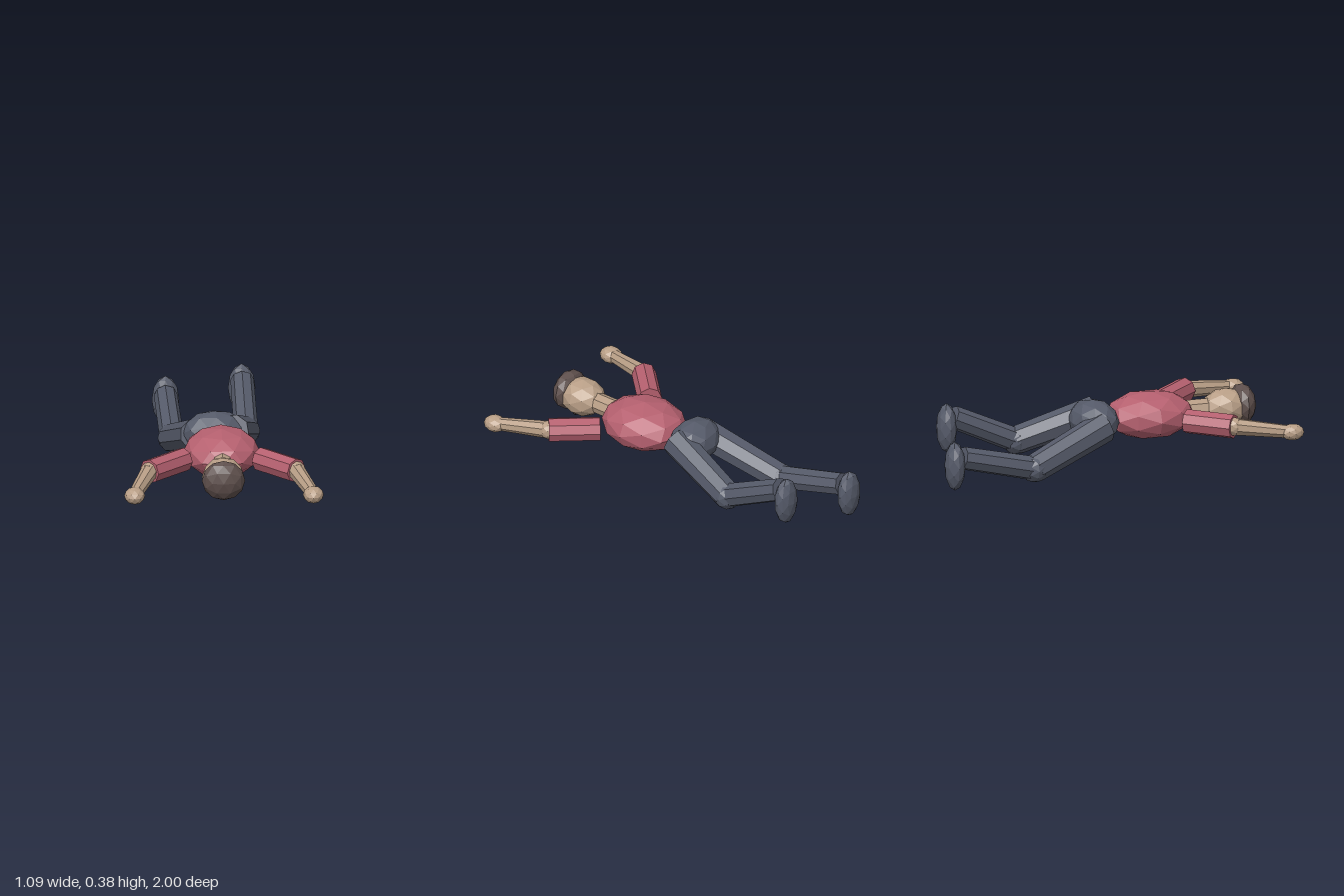
import * as THREE from 'three';

const mat = (name, color) => {
  const m = new THREE.MeshStandardMaterial({ color, flatShading: true });
  m.name = name;
  return m;
};

export function createModel() {
  const shirt = mat('shirt red', 0xb5606f);
  const skin = mat('skin', 0xb89e86);
  const hair = mat('hair brown', 0x5d4e4b);
  const trousers = mat('trouser grey', 0x555a69);
  const eyeDark = mat('eye dark', 0x2a2422);
  const model = new THREE.Group();
  model.name = 'proneFigure';

  const add = (name, geometry, material, parent = model) => {
    const mesh = new THREE.Mesh(geometry, material);
    mesh.name = name;
    parent.add(mesh);
    return mesh;
  };

  // Faceted ellipsoid, its pole along the body (z)
  const blob = (name, pos, radii, material, parent = model, detail = 1) => {
    const geometry = new THREE.IcosahedronGeometry(1, detail);
    geometry.rotateX(Math.PI / 2).scale(...radii);
    const mesh = add(name, geometry, material, parent);
    mesh.position.set(...pos);
    return mesh;
  };

  // Eight-sided tapered limb from point a (radius ra) to point b (radius rb)
  const limb = (name, a, b, ra, rb, material, parent = model) => {
    const from = new THREE.Vector3(...a);
    const to = new THREE.Vector3(...b);
    const dir = to.clone().sub(from);
    const mesh = add(name, new THREE.CylinderGeometry(rb, ra, dir.length(), 8), material, parent);
    mesh.position.copy(from).add(to).multiplyScalar(0.5);
    mesh.quaternion.setFromUnitVectors(new THREE.Vector3(0, 1, 0), dir.normalize());
    return mesh;
  };

  // Trunk
  blob('torso', [0, 0.255, 0.28], [0.21, 0.13, 0.25], shirt);
  blob('pelvis', [-0.03, 0.257, -0.055], [0.18, 0.118, 0.128], trousers).rotation.y = 0.15;

  // Head, face down
  limb('neck', [0, 0.255, 0.48], [0, 0.255, 0.63], 0.058, 0.058, skin);
  blob('head', [0, 0.255, 0.72], [0.115, 0.105, 0.135], skin);
  blob('hair', [0, 0.265, 0.815], [0.118, 0.112, 0.07], hair);

  // Arms, mirrored
  for (const s of [1, -1]) {
    blob('eye', [s * 0.038, 0.161, 0.74], [0.015, 0.012, 0.015], eyeDark);
    const arm = new THREE.Group();
    arm.name = s > 0 ? 'leftArm' : 'rightArm';
    model.add(arm);
    const elbow = [s * 0.4, 0.257, 0.625];
    limb('upperArm', [s * 0.21, 0.257, 0.42], elbow, 0.067, 0.067, shirt, arm);
    blob('elbow', elbow, [0.052, 0.052, 0.052], skin, arm);
    limb('forearm', elbow, [s * 0.485, 0.222, 0.92], 0.048, 0.036, skin, arm);
    blob('hand', [s * 0.487, 0.22, 0.933], [0.057, 0.046, 0.066], skin, arm);
  }

  // Legs, each posed differently
  const legs = [
    { name: 'leftLeg', hip: [0.07, 0.28, -0.01], knee: [0.148, 0.135, -0.44],
      ankle: [0.135, 0.305, -0.81], foot: [0.133, 0.248, -0.847] },
    { name: 'rightLeg', hip: [-0.137, 0.25, -0.03], knee: [-0.255, 0.085, -0.475],
      ankle: [-0.28, 0.19, -0.9], foot: [-0.28, 0.148, -0.945] },
  ];
  for (const { name, hip, knee, ankle, foot } of legs) {
    const leg = new THREE.Group();
    leg.name = name;
    model.add(leg);
    limb('thigh', hip, knee, 0.087, 0.078, trousers, leg);
    blob('knee', knee, [0.078, 0.078, 0.078], trousers, leg);
    limb('lowerLeg', knee, ankle, 0.067, 0.064, trousers, leg);
    blob('foot', foot, [0.075, 0.138, 0.055], trousers, leg);
  }

  return model;
}
